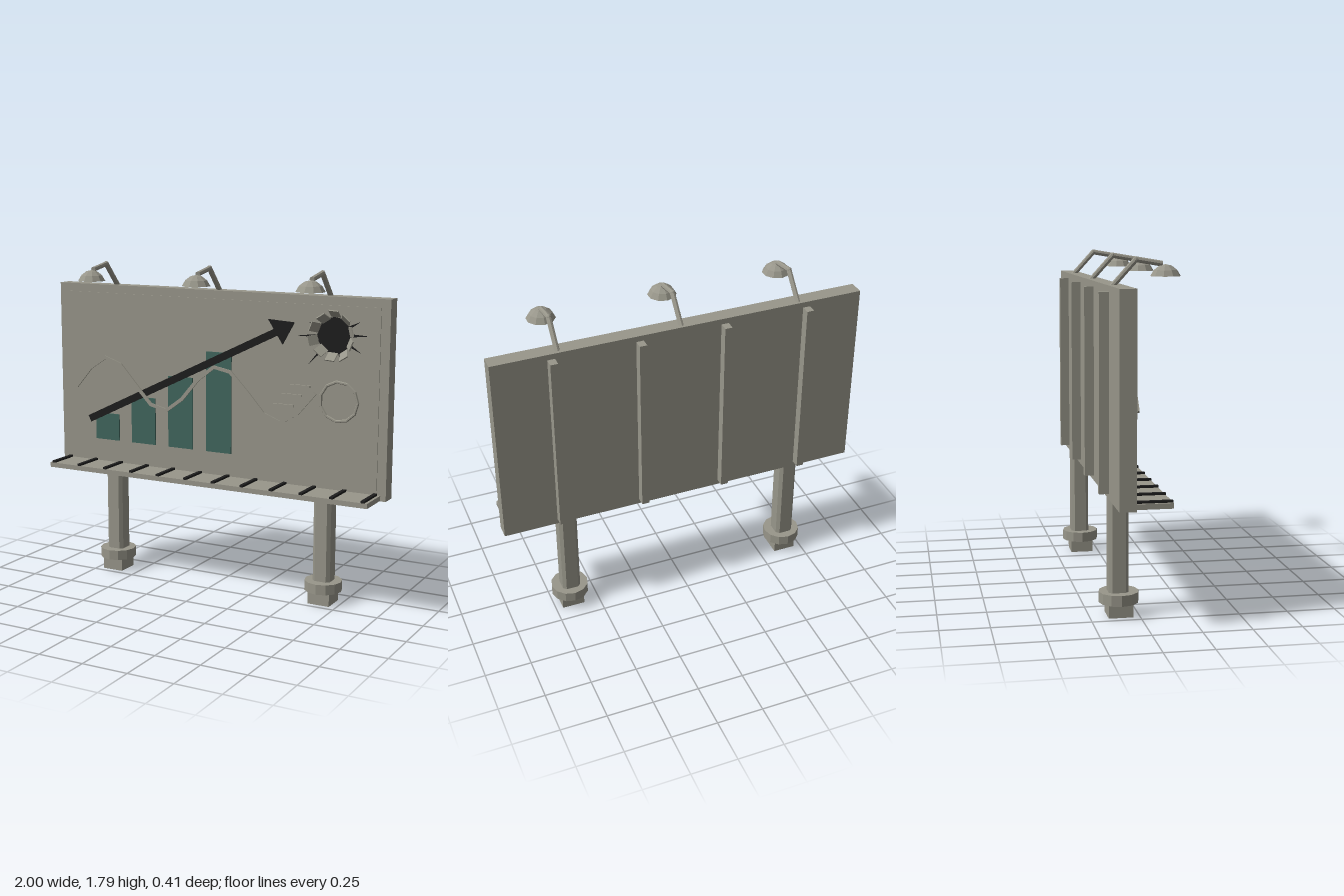
import * as THREE from 'three';

export function createModel() {
  const root = new THREE.Group();
  const make = (name, color) => {
    const m = new THREE.MeshStandardMaterial({ color, flatShading: true, side: THREE.DoubleSide });
    m.name = name;
    return m;
  };
  const stone = make('warm grey', 0x98968a);
  const teal = make('dark teal', 0x41665d);
  const black = make('black', 0x1e1e1e);

  const add = (name, geo, mat, x = 0, y = 0, z = 0, parent = root) => {
    const mesh = new THREE.Mesh(geo, mat);
    mesh.name = name;
    mesh.position.set(x, y, z);
    parent.add(mesh);
    return mesh;
  };
  // Box given by its lower and upper corners
  const box = (name, mat, [x0, y0, z0], [x1, y1, z1]) =>
    add(name, new THREE.BoxGeometry(x1 - x0, y1 - y0, z1 - z0), mat,
      (x0 + x1) / 2, (y0 + y1) / 2, (z0 + z1) / 2);
  // Straight round rod between two points
  const rod = (name, mat, a, b, r) => {
    const d = b.clone().sub(a);
    const mesh = add(name, new THREE.CylinderGeometry(r, r, d.length(), 8), mat);
    mesh.position.copy(a).add(b).multiplyScalar(0.5);
    mesh.quaternion.setFromUnitVectors(new THREE.Vector3(0, 1, 0), d.normalize());
  };
  // Flat polygon plate facing the front
  const plate = (name, mat, pts, z, depth = 0.006) => {
    const shape = new THREE.Shape(pts.map(p => new THREE.Vector2(...p)));
    return add(name, new THREE.ExtrudeGeometry(shape, { depth, bevelEnabled: false }), mat, 0, 0, z);
  };

  // Board with a slightly raised inner panel
  box('board', stone, [-1, 0.605, -0.158], [1, 1.65, -0.075]);
  box('panel', stone, [-0.95, 0.65, -0.076], [0.95, 1.605, -0.07]);

  // Back ribs
  for (const x of [-0.69, -0.23, 0.23, 0.69])
    box('backRib', stone, [x - 0.02, 0.633, -0.207], [x + 0.02, 1.62, -0.157]);

  // Posts with chamfered corners, collars and square feet
  const h = 0.05, c = 0.033;
  const section = [[-c, -h], [c, -h], [h, -c], [h, c], [c, h], [-c, h], [-h, c], [-h, -c]];
  for (const x of [-0.65, 0.65]) {
    plate('post', stone, section, 0, 0.545).rotation.x = -Math.PI / 2;
    root.children.at(-1).position.set(x, 0.06, -0.105);
    add('collar', new THREE.CylinderGeometry(0.102, 0.102, 0.055, 12), stone, x, 0.097, -0.1);
    box('foot', stone, [x - 0.062, 0, -0.16], [x + 0.062, 0.07, -0.034]);
  }

  // Walkway with dark slats
  box('walkway', stone, [-0.97, 0.608, -0.08], [0.97, 0.635, 0.11]);
  for (let i = 0; i < 12; i++) {
    const x = -0.947 + i * 0.172;
    box('slat', black, [x - 0.01, 0.634, -0.07], [x + 0.01, 0.646, 0.11]);
  }

  // Lamps: bent arm, knob and dome shade
  const dome = [[0, 1.69], [0.076, 1.69], [0.058, 1.72], [0.03, 1.741], [0, 1.748]]
    .map(p => new THREE.Vector2(...p));
  for (const x of [-0.65, 0, 0.65]) {
    const base = new THREE.Vector3(x, 1.64, -0.135);
    const elbow = new THREE.Vector3(x, 1.772, -0.015);
    const tip = new THREE.Vector3(x, 1.75, 0.115);
    rod('lampArm', stone, base, elbow, 0.014);
    rod('lampArm', stone, elbow, tip, 0.014);
    add('lampElbow', new THREE.SphereGeometry(0.015, 8, 6), stone, x, 1.772, -0.015);
    add('lampShade', new THREE.LatheGeometry(dome, 10), stone, x, 0, 0.131);
  }

  // Bar chart
  [0.917, 1.03, 1.165, 1.318].forEach((top, i) => {
    const x = -0.765 + i * 0.239;
    box('chartBar', teal, [x, 0.765, -0.071], [x + 0.154, top, -0.062]);
  });

  // Rising arrow
  const from = [-0.8, 0.88], to = [0.38, 1.453];
  const ang = Math.atan2(to[1] - from[1], to[0] - from[0]);
  const nx = -Math.sin(ang) * 0.02, ny = Math.cos(ang) * 0.02;
  plate('arrowShaft', black, [[from[0] - nx, from[1] - ny], [to[0] - nx, to[1] - ny],
    [to[0] + nx, to[1] + ny], [from[0] + nx, from[1] + ny]], -0.055);
  plate('arrowHead', black, [[0.415, 1.388], [0.482, 1.508], [0.33, 1.517]], -0.055);

  // Wavy line as a narrow ribbon
  const upper = [], lower = [], steps = 15;
  for (let i = 0; i <= steps; i++) {
    const x = -0.885 + i * 1.49 / steps, k = 2 * Math.PI / 0.71, t = k * (x + 0.67);
    const y = 1.107 + 0.137 * Math.cos(t), n = 0.01 / Math.hypot(1, 0.137 * k * Math.sin(t));
    const sx = 0.137 * k * Math.sin(t) * n;
    upper.push([x + sx, y + n]);
    lower.unshift([x - sx, y - n]);
  }
  plate('waveLine', stone, [...lower, ...upper], -0.05, 0.008);

  // Ring and short dashes
  add('ring', new THREE.TorusGeometry(0.105, 0.008, 6, 11), stone, 0.737, 1.11, -0.055);
  for (const [x, y] of [[0.455, 1.175], [0.405, 1.123], [0.363, 1.065]])
    box('dash', stone, [x, y - 0.006, -0.062], [x + 0.118, y + 0.006, -0.052]);

  // Burst hole: dark disc, bent flaps and cracks
  const burst = new THREE.Group();
  burst.name = 'burstHole';
  burst.position.set(0.71, 1.455, 0);
  root.add(burst);
  add('holeDisc', new THREE.CircleGeometry(0.095, 16), black, 0, 0, -0.045, burst);
  for (let i = 0; i < 10; i++) {
    const arm = new THREE.Group();
    arm.name = 'flap';
    arm.rotation.z = i * Math.PI / 5 + 0.25;
    burst.add(arm);
    add('bentFlap', new THREE.BoxGeometry(0.058, 0.052, 0.006), stone,
      0.108 + 0.006 * (i % 3 - 1), 0, -0.024, arm).rotation.y = -0.92;
  }
  for (const [a, r] of [[3.21, 0.22], [3.97, 0.22], [0.03, 0.19], [-0.53, 0.17], [0.5, 0.16], [2.75, 0.16], [-1.3, 0.14]]) {
    const crack = new THREE.Shape([[0.08, -0.009], [r, 0], [0.08, 0.009]].map(p => new THREE.Vector2(...p)));
    add('crack', new THREE.ShapeGeometry(crack), black, 0, 0, -0.05, burst).rotation.z = a;
  }
  return root;
}
